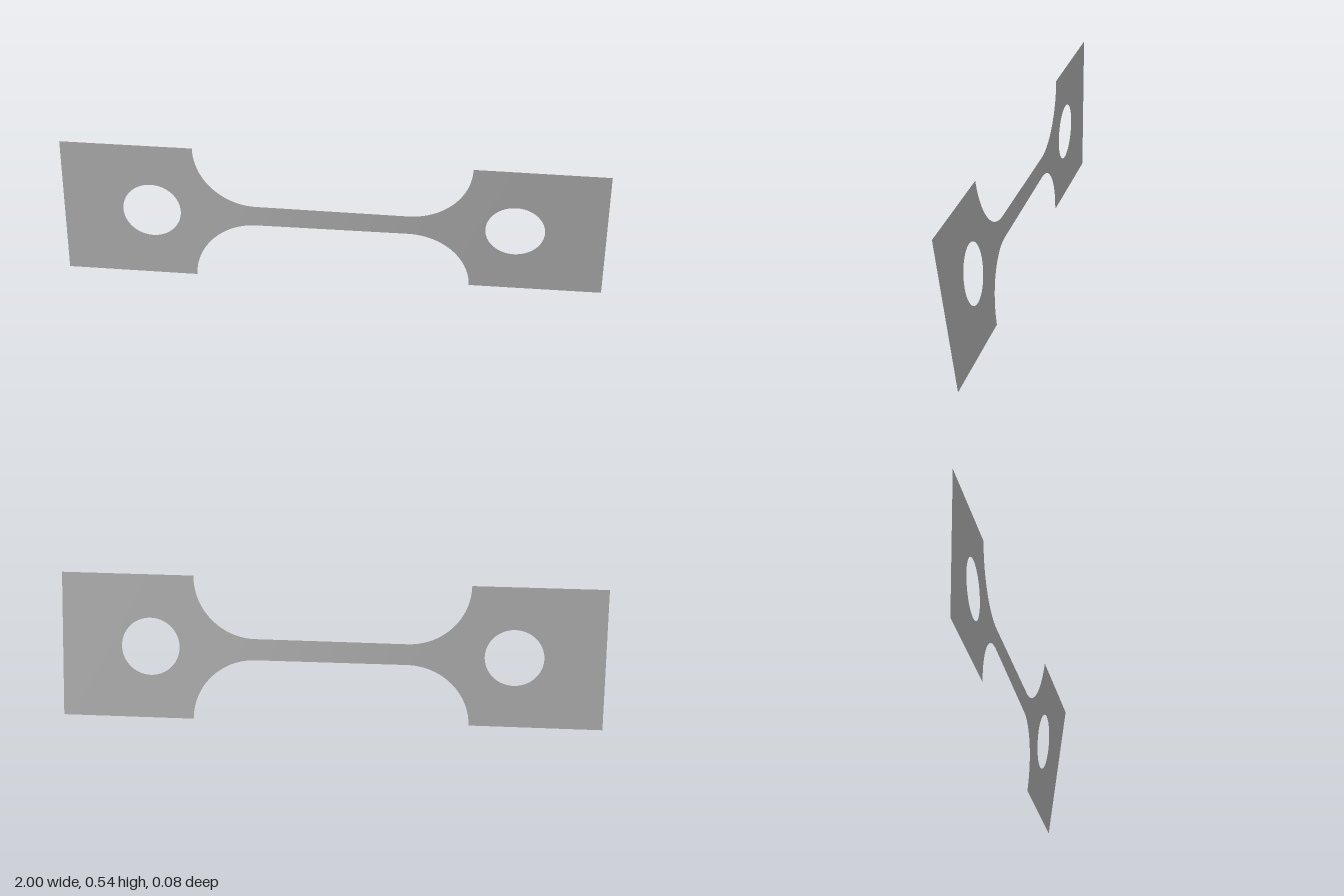
import * as THREE from 'three';
import { mergeGeometries, mergeVertices } from 'three/addons/utils/BufferGeometryUtils.js';

const MID = 0.271;      // height of the long axis
const PAD = 0.27;       // half height of the end pads
const NECK = 0.04;      // half height of the neck
const FILLET = PAD - NECK;
const SHOULDER = 0.51;  // where a pad meets its fillets
const HOLE_X = 0.67, HOLE_R = 0.108;

// Twist about the long axis: most of it in the neck, a little in the far pad
function twist(x) {
  const neck = THREE.MathUtils.clamp((x + 0.4) / 0.8, 0, 1) * 7.6;
  const pad = THREE.MathUtils.clamp((x - 0.4) / 0.6, 0, 1) * 0.6;
  return THREE.MathUtils.degToRad(neck + pad);
}

// Sheet between two edge curves; xAt maps 0..1 to x
function strip(cols, rows, xAt, low, high) {
  const geo = new THREE.PlaneGeometry(1, 1, cols, rows);
  const p = geo.attributes.position;
  for (let i = 0; i < p.count; i++) {
    const x = xAt(p.getX(i) + 0.5);
    const y = THREE.MathUtils.lerp(low(x), high(x), p.getY(i) + 0.5);
    const a = twist(x);
    p.setXYZ(i, x, MID + y * Math.cos(a), y * Math.sin(a));
  }
  geo.deleteAttribute('uv');
  geo.deleteAttribute('normal');
  return geo;
}

function sheet(name, strips, material) {
  const geo = mergeVertices(mergeGeometries(strips), 1e-5);
  geo.computeVertexNormals();
  const mesh = new THREE.Mesh(geo, material);
  mesh.name = name;
  return mesh;
}

const span = (a, b) => t => a + (b - a) * t;

// Square end with a round hole
function pad(name, side, material) {
  const cx = side * HOLE_X;
  const [a, b] = side > 0 ? [SHOULDER, 1] : [-1, -SHOULDER];
  const top = () => PAD, bottom = () => -PAD;
  const arc = x => Math.sqrt(Math.max(0, HOLE_R ** 2 - (x - cx) ** 2));
  const round = t => cx - HOLE_R * Math.cos(Math.PI * t);
  return sheet(name, [
    strip(6, 8, span(a, cx - HOLE_R), bottom, top),
    strip(32, 4, round, arc, top),
    strip(32, 4, round, bottom, x => -arc(x)),
    strip(6, 8, span(cx + HOLE_R, b), bottom, top),
  ], material);
}

// Narrow bar widening through quarter-circle fillets at both ends
function neck(material) {
  const start = SHOULDER - FILLET;
  const half = x => {
    const d = Math.max(0, Math.abs(x) - start);
    return PAD - Math.sqrt(Math.max(0, FILLET ** 2 - d * d));
  };
  const low = x => -half(x);
  const q = Math.PI / 2;
  return sheet('neck', [
    strip(24, 8, t => -start - FILLET * Math.sin(q * (1 - t)), low, half),
    strip(24, 8, span(-start, start), low, half),
    strip(24, 8, t => start + FILLET * Math.sin(q * t), low, half),
  ], material);
}

export function createModel() {
  const grey = new THREE.MeshStandardMaterial({ color: 0xb0b0b0, side: THREE.DoubleSide });
  grey.name = 'plain grey';
  const group = new THREE.Group();
  group.name = 'twistedTestStrip';
  group.add(pad('leftPad', 1, grey), neck(grey), pad('rightPad', -1, grey));
  return group;
}
